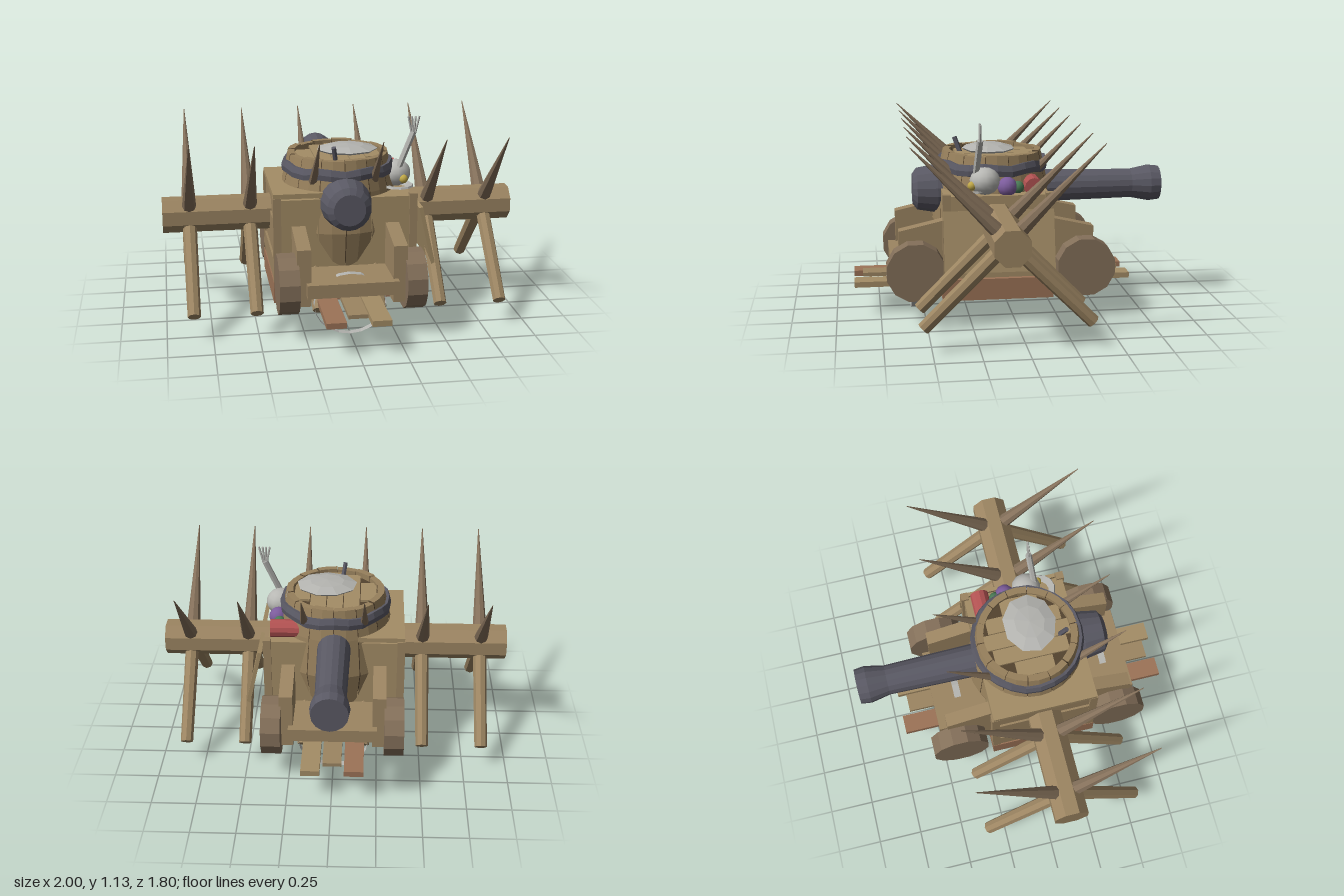
import * as THREE from 'three';

const mat = (color, side = THREE.FrontSide) =>
  new THREE.MeshStandardMaterial({ color, flatShading: true, side });
const wood = mat(0x9c8562), pale = mat(0xa48d66), dark = mat(0x84705a), red = mat(0x9c7357);
const stave = mat(0x97805c, THREE.DoubleSide), seam = mat(0x54432f);
const iron = mat(0x5a5964), steel = mat(0xb4b4b0, THREE.DoubleSide);
const V = (x, y, z) => new THREE.Vector3(x, y, z);

export function createModel() {
  const model = new THREE.Group();
  const CZ = 0.09; // centre of the hull and barrel

  const add = (name, geo, m, parent = model) => {
    const mesh = new THREE.Mesh(geo, m);
    mesh.name = name;
    parent.add(mesh);
    return mesh;
  };
  // Box given by its extents
  const box = (name, x0, x1, y0, y1, z0, z1, m = wood) => {
    const mesh = add(name, new THREE.BoxGeometry(x1 - x0, y1 - y0, z1 - z0), m);
    mesh.position.set((x0 + x1) / 2, (y0 + y1) / 2, (z0 + z1) / 2);
    return mesh;
  };
  // Tapered rod between two points
  const rod = (name, a, b, ra, rb, m, sides = 8) => {
    const dir = b.clone().sub(a);
    const mesh = add(name, new THREE.CylinderGeometry(rb, ra, dir.length(), sides), m);
    mesh.position.copy(a).add(b).multiplyScalar(0.5);
    mesh.quaternion.setFromUnitVectors(V(0, 1, 0), dir.normalize());
    return mesh;
  };
  const lathe = (name, pts, segs, m, start = 0, len = Math.PI * 2) =>
    add(name, new THREE.LatheGeometry(pts.map(p => new THREE.Vector2(...p)), segs, start, len), m);

  // Hull: wall box, corner posts, bottom frame, deck
  box('hull', -0.375, 0.375, 0.145, 0.725, -0.195, 0.395, pale);
  for (const s of [-1, 1]) {
    for (const z of [-0.21, 0.36])
      box('cornerPost', s * 0.38 - 0.022, s * 0.38 + 0.022, 0.14, 0.74, z, z + 0.045);
    box('bottomSideBeam', s * 0.38 - 0.024, s * 0.38 + 0.024, 0.14, 0.26, -0.21, 0.41, red);
  }
  box('bottomFrontBeam', -0.39, 0.39, 0.14, 0.26, 0.38, 0.41, red);
  box('bottomBackBeam', -0.39, 0.39, 0.14, 0.26, -0.21, -0.18, red);
  box('deckPlate', -0.4, -0.02, 0.735, 0.762, -0.2, 0.4, pale);
  for (let i = 0; i < 4; i++)
    box('sidePlank', -0.4 + (i % 2) * 0.01, -0.37, 0.27 + i * 0.116, 0.38 + i * 0.116, -0.165, 0.36);
  // Loose side board leaning outwards
  const board = box('leaningBoard', 0.45, 0.472, 0.32, 0.66, -0.205, 0.405, pale);
  board.rotation.z = 0.225;

  // Barrel: dark core, separate staves, lid and hoop
  const turret = [
    lathe('barrelCore', [[0, 0.14], [0.22, 0.14], [0.3, 0.32], [0.338, 0.53], [0.315, 0.75],
      [0.272, 0.915], [0.25, 0.915], [0.25, 0.895], [0, 0.895]], 28, seam)];
  const N = 14, step = Math.PI * 2 / N;
  for (let i = 0; i < N; i++) {
    const top = 0.93 - (i % 3) * 0.004;
    turret.push(lathe('stave', [[0.19, 0.132], [0.235, 0.132], [0.305, 0.32], [0.348, 0.53],
      [0.322, 0.75], [0.283, top], [0.245, top], [0.245, 0.89]], 2, stave, i * step, step * 0.965));
  }
  const hoop = lathe('hoop', [[0.3, 0.815], [0.318, 0.82], [0.322, 0.85], [0.31, 0.882], [0.29, 0.88]],
    24, mat(0x5a5964, THREE.DoubleSide));
  const hp = hoop.geometry.attributes.position;
  for (let i = 0; i < hp.count; i++) {
    const a = Math.atan2(hp.getZ(i), hp.getX(i));
    hp.setY(i, hp.getY(i) + 0.008 * Math.sin(a * 7));
  }
  turret.push(hoop);
  turret.forEach(m => { m.position.z = CZ; });
  // Lid planks clipped to the round opening
  for (let i = -2; i <= 2; i++) {
    const half = Math.sqrt(0.245 ** 2 - (Math.abs(i) * 0.095 + 0.03) ** 2);
    if (half > 0) box('lidPlank', i * 0.095 - 0.045, i * 0.095 + 0.045, 0.885, 0.908, CZ - half, CZ + half, pale);
  }
  const dome = lathe('lidShield', [[0, 0], [0.165, 0], [0.175, 0.01], [0.1, 0.03], [0, 0.037]], 9, steel);
  dome.position.set(0.05, 0.932, 0.115);
  dome.scale.z = 0.86;
  rod('lidPeg', V(-0.035, 0.89, 0.265), V(-0.052, 0.99, 0.3), 0.014, 0.014, iron, 6);

  // Bottom hatch
  add('hatch', new THREE.CylinderGeometry(0.11, 0.11, 0.012, 14), steel).position.set(0, 0.134, CZ);
  const hatchRing = add('hatchRing', new THREE.TorusGeometry(0.1, 0.01, 6, 16), mat(0x4b6a60));
  hatchRing.rotation.x = Math.PI / 2;
  hatchRing.position.set(0, 0.13, CZ);
  box('hatchBar', -0.09, 0.03, 0.12, 0.13, 0.13, 0.19, mat(0x3a7a62));

  // Cannon: breech at the front, long muzzle at the back
  const cannon = new THREE.Group();
  cannon.name = 'cannon';
  cannon.position.y = 0.7;
  model.add(cannon);
  const gun = (name, pts, segs) => {
    const m = lathe(name, pts, segs, iron);
    m.rotation.x = Math.PI / 2;
    cannon.add(m);
  };
  gun('breech', [[0, 0.3], [0.142, 0.3], [0.142, 0.41], [0.122, 0.525], [0.088, 0.55], [0, 0.55]], 18);
  gun('muzzle', [[0, -0.9], [0.1, -0.9], [0.107, -0.84], [0.085, -0.73], [0.095, -0.2], [0.095, -0.05]], 16);

  // Axle log with spikes above and stakes below
  const log = rod('axleLog', V(-1, 0.585, 0.1), V(1, 0.585, 0.1), 0.102, 0.102, wood, 8);
  log.geometry.rotateY(Math.PI / 8);
  for (const x of [-0.85, -0.51, -0.17, 0.17, 0.51, 0.85])
    for (const s of [-1, 1]) {
      rod('spike', V(x, 0.625, 0.1 + s * 0.04), V(x, 1.085, 0.1 + s * 0.5), 0.042, 0.002, dark, 8);
      rod('stake', V(x, 0.55, 0.1 + s * 0.035), V(x, 0.138, 0.1 + s * 0.447), 0.04, 0.036, wood, 8);
    }

  // Carriage ends, mirrored front to back about the hull centre
  for (const s of [1, -1]) {
    const e = (name, x0, x1, y0, y1, a, b, m) => {
      const z0 = s > 0 ? a : 0.19 - b, z1 = s > 0 ? b : 0.19 - a;
      return box(name, x0, x1, y0, y1, z0, z1, m);
    };
    e('crossBeam', -0.25, 0.25, 0.26, 0.335, 0.38, 0.69, wood);
    for (const k of [-1, 1]) {
      // Cheek with sloping top
      const cheek = e('cheek', k * 0.262 - 0.038, k * 0.262 + 0.038, 0.2, 0.58, 0.38, 0.645, wood);
      const p = cheek.geometry.attributes.position;
      for (let i = 0; i < p.count; i++)
        if (p.getY(i) > 0 && p.getZ(i) * s > 0) p.setY(i, p.getY(i) - 0.06);
      // Wheel
      const zc = s > 0 ? 0.555 : -0.4;
      const wheel = rod('wheel', V(k * 0.29, 0.305, zc), V(k * 0.4, 0.305, zc), 0.167, 0.167, dark, 12);
      wheel.geometry.rotateY(Math.PI / 12);
    }
    // Strap loop under the carriage
    const zs = s > 0 ? 0.553 : -0.35;
    const strap = add('strap', new THREE.CylinderGeometry(1, 1, 0.04, 20, 1, true), steel);
    strap.geometry.rotateX(Math.PI / 2).scale(0.2, 0.175, 1);
    strap.position.set(0, 0.175, zs);
  }

  // Long floor boards
  box('floorBoard', -0.178, -0.07, 0.168, 0.2, -0.7, 0.895, red);
  box('floorBoard', 0.065, 0.17, 0.168, 0.2, -0.7, 0.895, pale);
  box('middleBoard', -0.055, 0.05, 0.198, 0.22, -0.65, 0.845, wood);

  // Baggage on the left of the deck
  const ball = (name, x, y, z, r, color, sy = 1) => {
    const m = add(name, new THREE.SphereGeometry(r, 12, 9), new THREE.MeshStandardMaterial({ color }));
    m.position.set(x, y, z);
    m.scale.y = sy;
  };
  ball('pot', 0.325, 0.8, 0.165, 0.085, 0xb8b8b4, 0.9);
  const rim = lathe('potRim', [[0.05, 0], [0.09, 0.01], [0.085, 0.02], [0.05, 0.015]], 12, steel);
  rim.position.set(0.32, 0.735, 0.25);
  ball('purpleSack', 0.33, 0.765, 0.04, 0.055, 0x7c5c9c);
  ball('greenSack', 0.32, 0.76, -0.02, 0.035, 0x4a7a55);
  ball('yellowSack', 0.355, 0.78, 0.24, 0.025, 0xc0a848);
  rod('redRoll', V(0.2, 0.765, -0.105), V(0.365, 0.765, -0.105), 0.052, 0.052, mat(0xb25252), 12);
  // Fork standing in the pot
  rod('forkHandle', V(0.33, 0.84, 0.215), V(0.415, 1.04, 0.2), 0.018, 0.018, steel, 6);
  for (let i = 0; i < 4; i++)
    rod('forkTine', V(0.406 + i * 0.006, 1.03, 0.2), V(0.385 + i * 0.021, 1.13, 0.2), 0.007, 0.006, steel, 5);

  return model;
}
